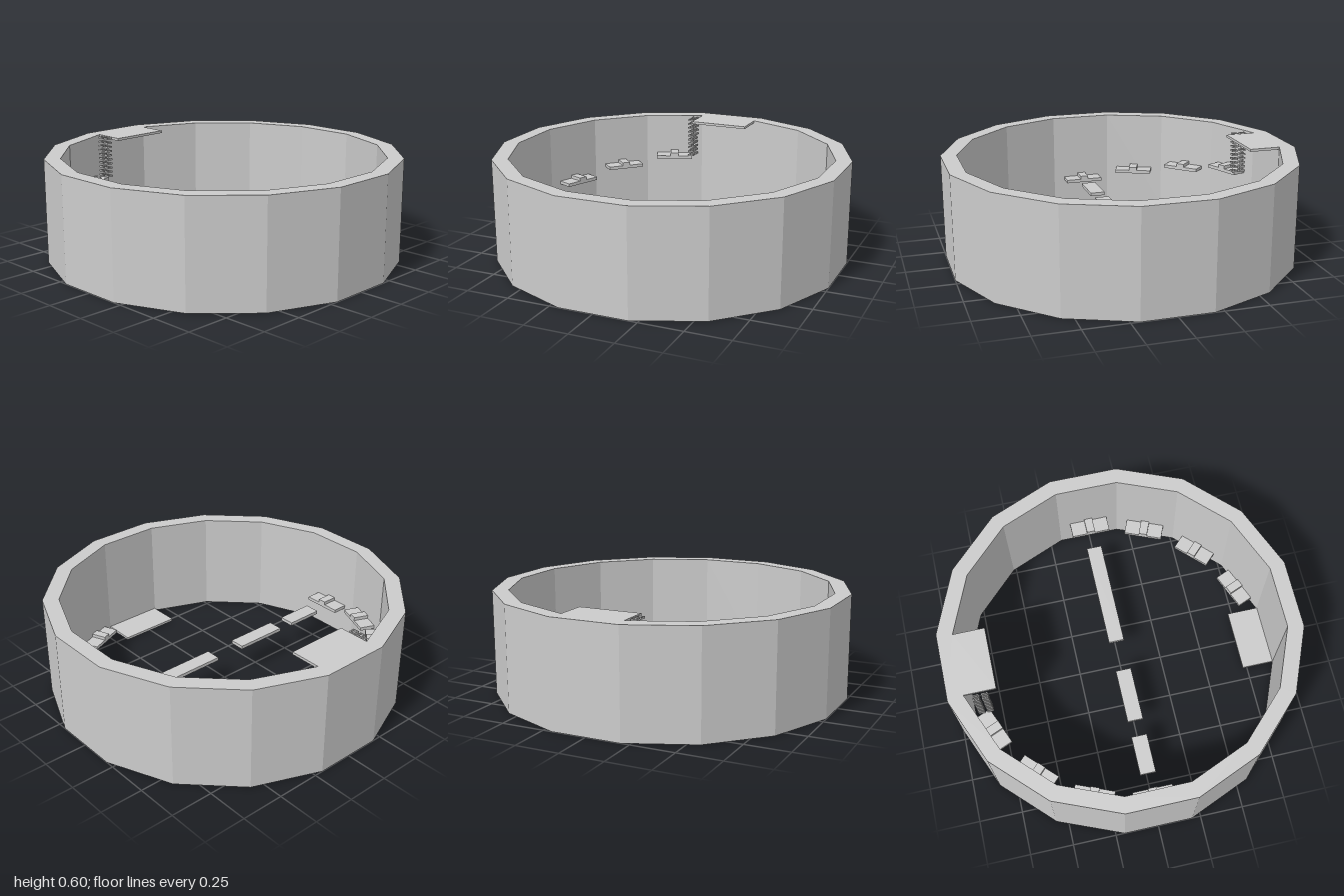
import * as THREE from 'three';

const grey = new THREE.MeshStandardMaterial({ color: 0xcccccc });
grey.name = 'plain grey';

const SIDES = 16;
const INNER = 0.91; // distance from the centre to each inner wall face

// Regular polygon whose flat sides lie at the given distance from the centre
function polygon(apothem, PathType) {
  const r = apothem / Math.cos(Math.PI / SIDES);
  const pts = [];
  for (let i = 0; i < SIDES; i++) {
    const a = ((i + 0.5) / SIDES) * Math.PI * 2;
    pts.push(new THREE.Vector2(r * Math.cos(a), r * Math.sin(a)));
  }
  return new PathType(pts);
}

// Box given by its limits on each axis
function block(name, x0, x1, y0, y1, z0, z1) {
  const mesh = new THREE.Mesh(new THREE.BoxGeometry(x1 - x0, y1 - y0, z1 - z0), grey);
  mesh.position.set((x0 + x1) / 2, (y0 + y1) / 2, (z0 + z1) / 2);
  mesh.name = name;
  return mesh;
}

// Wall step: a plank with a low hurdle across its middle
function wallStep(angle, top) {
  const step = new THREE.Group();
  step.name = 'wallStep';
  step.add(block('plank', INNER - 0.09, INNER, top - 0.02, top, -0.115, 0.115));
  step.add(block('hurdle', INNER - 0.09, INNER, top, top + 0.02, -0.025, 0.025));
  step.rotation.y = -angle;
  return step;
}

// Square open ring used as a ladder rung
function rungGeometry(size, bar, height) {
  const h = size / 2, k = h - bar;
  const corners = (s) => [[-s, -s], [s, -s], [s, s], [-s, s]].map(([x, y]) => new THREE.Vector2(x, y));
  const shape = new THREE.Shape(corners(h));
  shape.holes.push(new THREE.Path(corners(k)));
  return new THREE.ExtrudeGeometry(shape, { depth: height, bevelEnabled: false }).rotateX(-Math.PI / 2);
}

export function createModel() {
  const model = new THREE.Group();
  model.name = 'ringCourse';

  // Sixteen-sided outer wall, open at top and bottom
  const ring = polygon(1, THREE.Shape);
  ring.holes.push(polygon(INNER, THREE.Path));
  const wall = new THREE.Mesh(
    new THREE.ExtrudeGeometry(ring, { depth: 0.6, bevelEnabled: false }).rotateX(-Math.PI / 2), grey);
  wall.name = 'outerWall';
  model.add(wall);

  // Start platform at the floor and finish platform at the rim
  model.add(block('startPlatform', -0.18, 0.18, 0, 0.015, 0.725, INNER));
  model.add(block('finishPlatform', -0.18, 0.18, 0.585, 0.6, -INNER, -0.73));

  // Steps rising along the wall, first on the left and then on the right
  for (let i = 0; i < 4; i++) {
    const turn = (i * Math.PI) / 8;
    model.add(wallStep(turn, 0.2 - i * 0.05));
    model.add(wallStep(Math.PI + turn, 0.2 + i * 0.05));
  }

  // Floating beams across the middle
  for (const [x0, x1] of [[-0.73, -0.505], [-0.41, -0.095], [0.09, 0.72]]) {
    model.add(block('crossBeam', x0, x1, 0.18, 0.2, -0.048, 0.042));
  }

  // Two columns of rungs leading up to the finish platform
  const ladder = new THREE.Group();
  ladder.name = 'ladder';
  const rung = rungGeometry(0.036, 0.006, 0.01);
  for (const z of [-0.847, -0.797]) {
    for (let i = 0; i < 10; i++) {
      const mesh = new THREE.Mesh(rung, grey);
      mesh.name = 'rung';
      mesh.position.set(-0.208, 0.355 + i * 0.026, z);
      ladder.add(mesh);
    }
  }
  model.add(ladder);

  return model;
}
